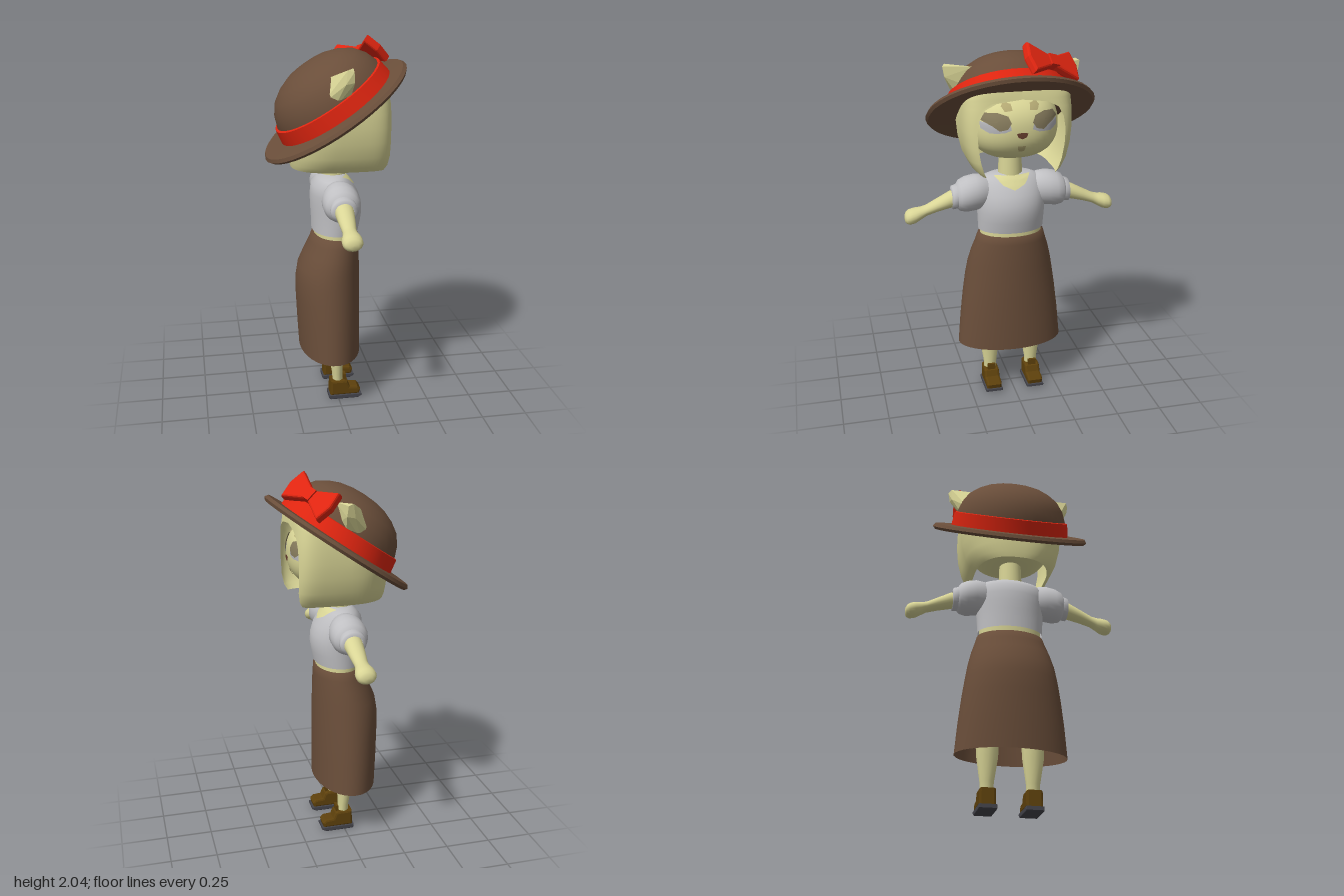
import * as THREE from 'three';
import { ConvexGeometry } from 'three/addons/geometries/ConvexGeometry.js';
import { toCreasedNormals } from 'three/addons/utils/BufferGeometryUtils.js';

const DS = { side: THREE.DoubleSide };
const mat = (name, color, extra = {}) => Object.assign(new THREE.MeshStandardMaterial({ color, ...extra }), { name });
const M = {
  skin: mat('pale yellow fur', 0xd9d596, DS),
  brown: mat('brown felt', 0x6a4e3a, DS),
  red: mat('red ribbon', 0xe02510),
  blouse: mat('light grey cloth', 0xc0c0c3, DS),
  shoe: mat('dark brown leather', 0x5e410c),
  sole: mat('slate sole', 0x45454c),
  eye: mat('eye brown', 0x857a5c, DS),
  white: mat('eye grey', 0xb4b4b8, DS),
  nose: mat('nose brown', 0x6a4030, DS),
  tan: mat('tan marking', 0xb3a873, DS),
};

function mesh(name, geo, material, parent) {
  const m = new THREE.Mesh(geo, material);
  m.name = name;
  parent.add(m);
  return m;
}

// Skin through rows of points; closed rings wrap round
function surface(rows, closed = true) {
  const n = rows[0].length, idx = [];
  for (let r = 0; r < rows.length - 1; r++) {
    for (let i = 0; i < (closed ? n : n - 1); i++) {
      const a = r * n + i, b = r * n + (i + 1) % n;
      idx.push(a, a + n, b, b, a + n, b + n);
    }
  }
  const g = new THREE.BufferGeometry();
  g.setAttribute('position', new THREE.Float32BufferAttribute(rows.flat(2), 3));
  g.setIndex(idx);
  g.computeVertexNormals();
  return g;
}

const ring = (n, f) => Array.from({ length: n }, (_, i) => f((i / n) * Math.PI * 2));

// Upright loft: rows of [y, back x, front x, half width]
const loftY = (rows, n = 36) => surface(rows.map(([y, x0, x1, w]) =>
  ring(n, t => [(x0 + x1) / 2 + (x1 - x0) / 2 * Math.cos(t), y, w * Math.sin(t)])));

// Sideways loft: rows of [z, centre y, half depth, half height]
const loftZ = (rows, n = 20) => surface(rows.map(([z, y, rx, ry]) =>
  ring(n, t => [rx * Math.cos(t), y - ry * Math.sin(t), z])));

// Thin painted patch laid on a surface x = f(y, z); outline in [z, y]
function patch(outline, f) {
  const pts = [];
  outline.forEach((p, i) => {
    const q = outline[(i + 1) % outline.length];
    for (let k = 0; k < 4; k++) pts.push([p[0] + (q[0] - p[0]) * k / 4, p[1] + (q[1] - p[1]) * k / 4]);
  });
  const cz = pts.reduce((s, p) => s + p[0], 0) / pts.length;
  const cy = pts.reduce((s, p) => s + p[1], 0) / pts.length;
  const rows = [1, 0.75, 0.5, 0.25, 0].map(k => pts.map(([z, y]) => {
    const zz = cz + (z - cz) * k, yy = cy + (y - cy) * k;
    return [f(yy, zz), yy, zz];
  }));
  return surface(rows);
}

// Head is a slightly squared ellipsoid
const HEAD = { x: 0.02, y: 1.6, rx: 0.25, ry: 0.19, rz: 0.24, p: 2.4 };
const faceX = lift => (y, z) => {
  const { p } = HEAD;
  const k = 1 - Math.abs((y - HEAD.y) / HEAD.ry) ** p - Math.abs(z / HEAD.rz) ** p;
  return HEAD.x + HEAD.rx * Math.max(k, 0) ** (1 / p) + lift;
};

function buildHead(root) {
  const head = new THREE.Group();
  head.name = 'head';
  root.add(head);
  const g = new THREE.SphereGeometry(1, 48, 32), pos = g.attributes.position, { p } = HEAD;
  for (let i = 0; i < pos.count; i++) {
    const v = new THREE.Vector3().fromBufferAttribute(pos, i);
    const s = (Math.abs(v.x) ** p + Math.abs(v.y) ** p + Math.abs(v.z) ** p) ** (-1 / p);
    pos.setXYZ(i, HEAD.x + v.x * s * HEAD.rx, HEAD.y + v.y * s * HEAD.ry, v.z * s * HEAD.rz);
  }
  g.computeVertexNormals();
  mesh('face', g, M.skin, head);

  // Face markings
  for (const s of [1, -1]) {
    const side = pts => pts.map(([z, y]) => [z * s, y]);
    mesh('eyeWhite', patch(side([[0.055, 1.61], [0.09, 1.595], [0.16, 1.59], [0.2, 1.61], [0.205, 1.645], [0.06, 1.635]]), faceX(0.003)), M.white, head);
    mesh('eyePatch', patch(side([[0.055, 1.645], [0.075, 1.615], [0.115, 1.605], [0.15, 1.63], [0.205, 1.655], [0.18, 1.69], [0.12, 1.695], [0.07, 1.68]]), faceX(0.006)), M.eye, head);
    mesh('brow', patch(side([[0.045, 1.705], [0.085, 1.7], [0.1, 1.725], [0.085, 1.745], [0.05, 1.735]]), faceX(0.004)), M.tan, head);
  }
  mesh('nose', patch([[-0.03, 1.592], [-0.022, 1.572], [0, 1.562], [0.022, 1.572], [0.03, 1.592], [0, 1.597]], faceX(0.007)), M.nose, head);
  mesh('chinMark', patch([[-0.022, 1.522], [-0.015, 1.49], [0.015, 1.49], [0.022, 1.522]], faceX(0.005)), M.tan, head);

  // Bobbed hair, open at the face and trimmed under the hat: [y, half width, opening, half depth]
  const rows = [[1.355, 0.205, 0.18, 0.255], [1.385, 0.235, 0.195, 0.262], [1.44, 0.262, 0.212, 0.268], [1.52, 0.282, 0.226, 0.268],
    [1.6, 0.29, 0.23, 0.266], [1.67, 0.29, 0.218, 0.262], [1.72, 0.287, 0.19, 0.257], [1.75, 0.284, 0.13, 0.252],
    [1.765, 0.282, 0, 0.25], [1.8, 0.278, 0, 0.245], [1.85, 0.27, 0, 0.24]];
  const N = 56;
  mesh('hair', surface(rows.map(([y, w, o, rx]) => {
    const a = Math.asin((o / w) ** 2.5);
    return Array.from({ length: N + 1 }, (_, i) => {
      const t = a + (2 * Math.PI - 2 * a) * i / N, c = Math.cos(t), s = Math.sin(t);
      const e = c > 0 ? 0.4 : 0.8;
      const x = 0.015 + rx * Math.sign(c) * Math.abs(c) ** e;
      return [x, Math.min(y, 1.645 + 0.667 * x), w * Math.sign(s) * Math.abs(s) ** e];
    });
  }), false), M.skin, head);

  // Ears poking through the hat
  for (const s of [1, -1]) {
    const pts = [[-0.11, 1.73, 0.27], [-0.08, 1.85, 0.21], [0.065, 1.9, 0.205], [0.055, 1.81, 0.26], [0.03, 1.74, 0.28], [-0.05, 1.71, 0.29],
      [0.01, 1.912, 0.35], [0.04, 1.905, 0.365], [0.045, 1.85, 0.355], [0, 1.84, 0.35]];
    mesh('ear', new ConvexGeometry(pts.map(([x, y, z]) => new THREE.Vector3(x, y, z * s))), M.skin, head);
  }
}

function buildHat(root) {
  const hat = new THREE.Group();
  hat.name = 'hat';
  hat.position.set(0, 1.65, 0);
  hat.rotation.z = 0.593;
  root.add(hat);
  const lathe = pts => toCreasedNormals(new THREE.LatheGeometry(pts.map(p => new THREE.Vector2(...p)), 40), 0.7);
  mesh('brim', lathe([[0, -0.015], [0.33, -0.015], [0.44, -0.02], [0.452, -0.005], [0.44, 0.012], [0.3, 0.015]]), M.brown, hat);
  mesh('crown', lathe([[0.333, 0], [0.32, 0.09], [0.295, 0.155], [0.255, 0.208], [0.2, 0.245], [0.14, 0.27], [0.07, 0.284], [0, 0.288]]), M.brown, hat).position.x = 0.015;
  mesh('hatBand', lathe([[0.33, 0], [0.345, 0.008], [0.332, 0.09], [0.315, 0.094]]), M.red, hat).position.x = 0.015;

  // Ribbon bow on the band
  const mount = new THREE.Group();
  mount.name = 'bow';
  mount.rotation.y = 0.51;
  hat.add(mount);
  const bow = new THREE.Group();
  bow.position.set(0.335, 0.125, 0);
  bow.rotation.z = 0.25;
  mount.add(bow);
  for (const s of [1, -1]) {
    const pts = [[0.015, -0.022], [0.14, -0.075], [0.155, 0], [0.14, 0.075], [0.015, 0.022]];
    const shape = new THREE.Shape(pts.map(([x, y]) => new THREE.Vector2(x * s, y)));
    const g = new THREE.ExtrudeGeometry(shape, { depth: 0.025, bevelSize: 0.01, bevelThickness: 0.012, bevelSegments: 2 });
    mesh('bowLoop', g.rotateY(Math.PI / 2), M.red, bow);
  }
  mesh('bowKnot', new THREE.BoxGeometry(0.06, 0.065, 0.055), M.red, bow).position.x = 0.015;
}

function buildBody(root) {
  mesh('neck', new THREE.CylinderGeometry(0.06, 0.068, 0.22, 24), M.skin, root).position.set(-0.005, 1.35, 0);
  mesh('waist', loftY([[0.92, -0.11, 0.12, 0.172], [1.02, -0.115, 0.12, 0.172]]), M.skin, root);
  mesh('skirt', loftY([[0.28, -0.2, 0.14, 0.3], [0.45, -0.21, 0.14, 0.285], [0.6, -0.217, 0.14, 0.267], [0.7, -0.218, 0.139, 0.252],
    [0.78, -0.205, 0.138, 0.238], [0.86, -0.17, 0.136, 0.218], [0.92, -0.14, 0.133, 0.198], [0.965, -0.123, 0.13, 0.185], [0.967, -0.1, 0.11, 0.165]]), M.brown, root);

  const torso = [[0.99, -0.125, 0.13, 0.182], [1.05, -0.127, 0.143, 0.185], [1.1, -0.13, 0.15, 0.188], [1.15, -0.132, 0.146, 0.19],
    [1.2, -0.132, 0.13, 0.19], [1.25, -0.125, 0.1, 0.185], [1.285, -0.095, 0.073, 0.16], [1.305, -0.065, 0.05, 0.11], [1.306, 0, 0, 0]];
  mesh('blouse', loftY(torso), M.blouse, root);
  const chestX = (y, z) => {
    const i = Math.max(1, torso.findIndex(r => r[0] >= y)), a = torso[i - 1], b = torso[i], k = (y - a[0]) / (b[0] - a[0]);
    const [x0, x1, w] = [1, 2, 3].map(j => a[j] + (b[j] - a[j]) * k);
    return (x0 + x1) / 2 + (x1 - x0) / 2 * Math.sqrt(Math.max(0, 1 - (z / w) ** 2)) + 0.005;
  };
  mesh('neckline', patch([[-0.1, 1.302], [-0.06, 1.258], [0, 1.232], [0.06, 1.258], [0.1, 1.302]], chestX), M.skin, root);

  // Arms with puffed sleeves
  for (const turn of [0, Math.PI]) {
    const arm = new THREE.Group();
    arm.name = turn ? 'rightArm' : 'leftArm';
    arm.rotation.y = turn;
    root.add(arm);
    mesh('sleeve', loftZ([[0.1, 1.2, 0.06, 0.07], [0.15, 1.205, 0.085, 0.093], [0.2, 1.203, 0.1, 0.1], [0.25, 1.195, 0.1, 0.098],
      [0.285, 1.19, 0.09, 0.085], [0.3, 1.187, 0.07, 0.066]], 28), M.blouse, arm);
    mesh('cuff', loftZ([[0.285, 1.188, 0.06, 0.058], [0.29, 1.188, 0.072, 0.068], [0.325, 1.18, 0.07, 0.064], [0.33, 1.179, 0.05, 0.045]], 28), M.blouse, arm);
    mesh('forearm', loftZ([[0.27, 1.185, 0.052, 0.05], [0.34, 1.17, 0.05, 0.046], [0.41, 1.143, 0.043, 0.036], [0.47, 1.118, 0.036, 0.03],
      [0.5, 1.105, 0.042, 0.035], [0.53, 1.095, 0.053, 0.042], [0.56, 1.088, 0.053, 0.042], [0.577, 1.085, 0.043, 0.032], [0.585, 1.083, 0.025, 0.018], [0.586, 1.083, 0, 0]]), M.skin, arm);
  }

  // Legs and boots
  const extrudeZ = (pts, width, bevel) => {
    const g = new THREE.ExtrudeGeometry(new THREE.Shape(pts.map(p => new THREE.Vector2(...p))),
      { depth: width - 2 * bevel, bevelSize: bevel, bevelThickness: bevel, bevelOffset: -bevel, bevelSegments: 2 });
    return g.translate(0, 0, bevel - width / 2);
  };
  for (const s of [1, -1]) {
    const leg = new THREE.Group();
    leg.name = s > 0 ? 'leftLeg' : 'rightLeg';
    leg.position.z = 0.122 * s;
    root.add(leg);
    mesh('shin', loftY([[0.08, -0.028, 0.03, 0.034], [0.15, -0.032, 0.028, 0.038], [0.28, -0.055, 0.037, 0.058], [0.5, -0.07, 0.05, 0.07], [0.8, -0.075, 0.055, 0.08]], 12), M.skin, leg);
    mesh('boot', extrudeZ([[-0.048, 0.02], [0.12, 0.02], [0.127, 0.05], [0.11, 0.068], [0.065, 0.072], [0.052, 0.105], [0.035, 0.112], [-0.045, 0.112]], 0.088, 0.012), M.shoe, leg);
    mesh('bootTongue', new THREE.BoxGeometry(0.014, 0.06, 0.046), M.shoe, leg).position.set(0.038, 0.112, 0);
    mesh('sole', extrudeZ([[-0.055, 0.006], [-0.045, 0], [0.11, 0], [0.132, 0.012], [0.132, 0.026], [-0.055, 0.026]], 0.096, 0.004), M.sole, leg);
  }
}

export function createModel() {
  const root = new THREE.Group();
  root.name = 'figure';
  buildBody(root);
  buildHead(root);
  buildHat(root);
  return root;
}
